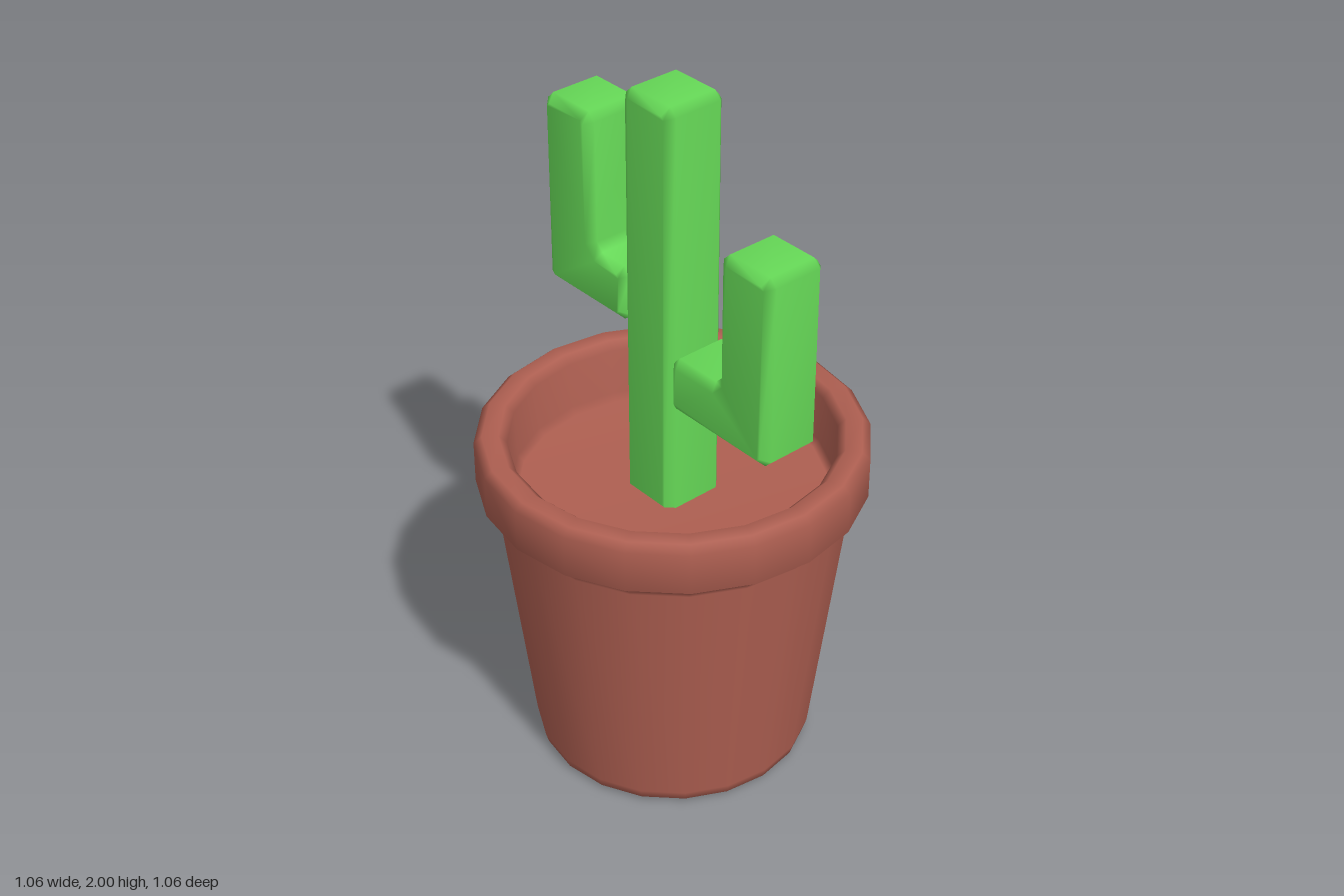
import * as THREE from 'three';
import { mergeVertices } from 'three/addons/utils/BufferGeometryUtils.js';

const HALF = 0.093; // half thickness of every cactus limb
const BEVEL = 0.022;

// Outline with every corner cut off by c
function chamferedShape(corners, c) {
  const pts = corners.map(([x, y]) => new THREE.Vector2(x, y));
  const toward = (a, b) => a.clone().add(b.clone().sub(a).setLength(c));
  const out = [];
  pts.forEach((p, i) => {
    out.push(toward(p, pts[(i + pts.length - 1) % pts.length]), toward(p, pts[(i + 1) % pts.length]));
  });
  return new THREE.Shape(out);
}

// Bevelled limb with smooth shading across its edges
function limb(name, corners, material) {
  let geo = new THREE.ExtrudeGeometry(chamferedShape(corners, BEVEL), {
    depth: 2 * (HALF - BEVEL), bevelEnabled: true, bevelSegments: 1,
    bevelSize: BEVEL, bevelThickness: BEVEL, bevelOffset: -BEVEL,
  });
  geo.translate(0, 0, BEVEL - HALF);
  geo.deleteAttribute('uv');
  geo.deleteAttribute('normal');
  geo = mergeVertices(geo, 1e-4);
  geo.computeVertexNormals();
  const mesh = new THREE.Mesh(geo, material);
  mesh.name = name;
  return mesh;
}

// L-shaped arm: side is +1 or -1, reach is its outer x
function armCorners(side, reach, bottom, top) {
  const inner = reach - 2 * HALF, elbow = bottom + 0.16;
  const c = [[0.086, bottom], [reach, bottom], [reach, top], [inner, top], [inner, elbow], [0.086, elbow]]
    .map(([x, y]) => [side * x, y]);
  return side > 0 ? c : c.reverse();
}

export function createModel() {
  const model = new THREE.Group();
  model.name = 'pottedCactus';
  const clay = new THREE.MeshStandardMaterial({ color: 0xae5f51 });
  const green = new THREE.MeshStandardMaterial({ color: 0x66d957 });

  // Pot: base, tapered wall, rolled rim, inner wall and floor in one profile
  const profile = [
    [0, 0], [0.365, 0], [0.385, 0.012], [0.393, 0.04], [0.483, 0.81], [0.488, 0.825],
    [0.532, 0.86], [0.532, 0.98], [0.51, 1], [0.465, 1], [0.443, 0.978],
    [0.437, 0.84], [0.42, 0.82], [0, 0.82],
  ].map(([r, y]) => new THREE.Vector2(r, y));
  const pot = new THREE.Mesh(new THREE.LatheGeometry(profile, 20), clay);
  pot.name = 'pot';
  model.add(pot);

  // Cactus: trunk and two raised arms
  const cactus = new THREE.Group();
  cactus.name = 'cactus';
  cactus.add(
    limb('trunk', [[-HALF, 0.78], [HALF, 0.78], [HALF, 2], [-HALF, 2]], green),
    limb('leftArm', armCorners(1, 0.455, 1.143, 1.692), green),
    limb('rightArm', armCorners(-1, 0.404, 1.32, 1.868), green),
  );
  model.add(cactus);
  return model;
}
